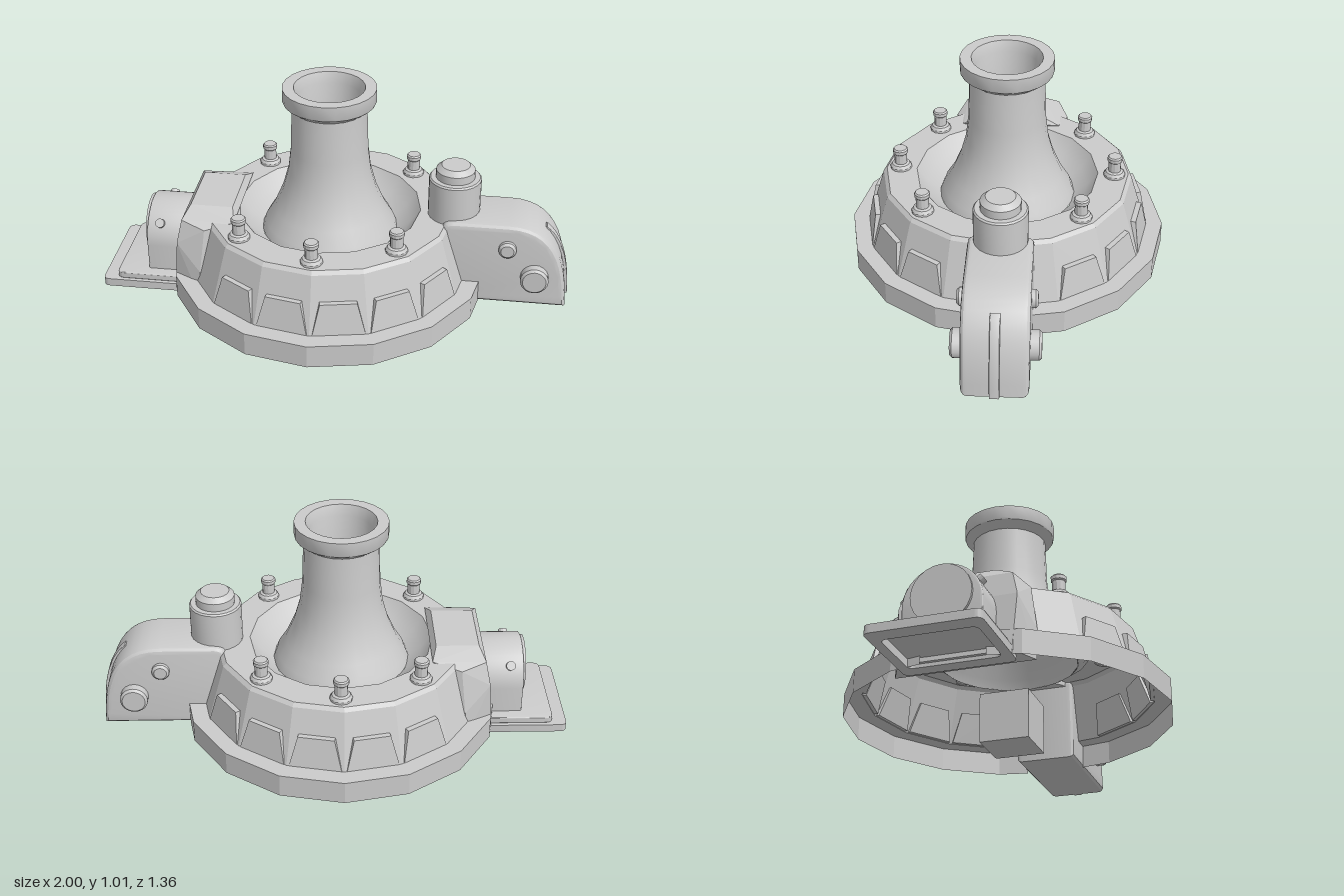
import * as THREE from 'three';
import { toCreasedNormals } from 'three/addons/utils/BufferGeometryUtils.js';
import { ConvexGeometry } from 'three/addons/geometries/ConvexGeometry.js';

const CX = -0.035; // axis of the round body
const SIDES = 16;
const V = (pts) => pts.map(([a, b]) => new THREE.Vector2(a, b));

export function createModel() {
  const model = new THREE.Group();
  const smooth = new THREE.MeshStandardMaterial({ color: 0xcccccc, side: THREE.DoubleSide });
  const flat = new THREE.MeshStandardMaterial({ color: 0xcccccc, side: THREE.DoubleSide, flatShading: true });

  const add = (name, geometry, x = 0, y = 0, z = 0, material = smooth, parent = model) => {
    const mesh = new THREE.Mesh(material === smooth ? toCreasedNormals(geometry, 0.5) : geometry, material);
    mesh.name = name;
    mesh.position.set(x, y, z);
    parent.add(mesh);
    return mesh;
  };
  const lathe = (pts, segments = SIDES) => new THREE.LatheGeometry(V(pts), segments);
  // Bevelled shape centred on z = 0
  const slab = (shape, width, bevel) => new THREE.ExtrudeGeometry(shape, {
    depth: width - 2 * bevel, bevelEnabled: bevel > 0, bevelSize: bevel, bevelThickness: bevel,
    bevelOffset: -bevel, bevelSegments: 3, curveSegments: 12,
  }).translate(0, 0, bevel - width / 2);
  const roundedRect = (x0, x1, h, r, path = new THREE.Shape()) => {
    path.moveTo(x0 + r, -h).lineTo(x1 - r, -h).quadraticCurveTo(x1, -h, x1, -h + r)
      .lineTo(x1, h - r).quadraticCurveTo(x1, h, x1 - r, h)
      .lineTo(x0 + r, h).quadraticCurveTo(x0, h, x0, h - r)
      .lineTo(x0, -h + r).quadraticCurveTo(x0, -h, x0 + r, -h);
    return path;
  };

  // Skirt: two half shells with openings where the arm and the motor attach
  const skirtProfile = [[0.68, 0.105], [0.68, 0.205], [0.608, 0.205], [0.535, 0.445], [0.52, 0.46]];
  for (const turn of [0, Math.PI]) {
    const g = new THREE.LatheGeometry(V(skirtProfile), SIDES / 2, -Math.PI / 2, Math.PI);
    const p = g.attributes.position, n = skirtProfile.length;
    const a = new THREE.Vector3(), b = new THREE.Vector3();
    for (const [end, next] of [[0, 1], [SIDES / 2, SIDES / 2 - 1]]) {
      for (let j = 0; j < n; j++) {
        a.fromBufferAttribute(p, end * n + j).lerp(b.fromBufferAttribute(p, next * n + j), 0.5);
        p.setXYZ(end * n + j, a.x, a.y, a.z);
      }
    }
    add('skirt', g, CX, 0, 0, flat).rotation.y = turn;
  }

  // Top ring, bowl and flared neck
  add('topRingAndBowl', lathe([[0.52, 0.46], [0.39, 0.46], [0.345, 0.4], [0.29, 0.36]]), CX);
  add('neck', lathe([
    [0.29, 0.36], [0.275, 0.4], [0.238, 0.46], [0.2, 0.55], [0.175, 0.64], [0.163, 0.74], [0.157, 0.925],
    [0.192, 0.952], [0.195, 0.96], [0.195, 1.015], [0.148, 1.015], [0.132, 0.97], [0.132, 0.6], [0, 0.6],
  ], 24), CX);

  // Raised trapezoid panels around the skirt
  for (const side of [0, 1]) {
    for (let k = -2; k <= 2; k++) {
      const phi = (k + 1) * Math.PI / 8 - Math.PI / 16;
      const pts = [];
      for (const s of [-1, 1]) {
        pts.push(new THREE.Vector3(s * 0.108, 0.207, 0.6), new THREE.Vector3(s * 0.075, 0.34, 0.578),
          new THREE.Vector3(s * 0.108, 0.207, 0.58), new THREE.Vector3(s * 0.075, 0.34, 0.545));
      }
      add('skirtPanel', new ConvexGeometry(pts), CX, 0, 0, flat).rotation.y = side ? Math.PI - phi : phi;
    }
  }

  // Bolts on the top ring
  const boltProfile = [[0.046, 0.455], [0.046, 0.47], [0.038, 0.482], [0.027, 0.486], [0.027, 0.53],
    [0.032, 0.535], [0.032, 0.55], [0.027, 0.556], [0, 0.556]];
  for (const deg of [45, 90, 135, -45, -90, -135]) {
    const t = (deg + 1.3) * Math.PI / 180;
    add('bolt', lathe(boltProfile, 12), CX + 0.46 * Math.cos(t), 0, 0.46 * Math.sin(t));
  }

  // Curved arm with fin, pins and capped post
  const arm = new THREE.Group();
  arm.name = 'arm';
  model.add(arm);
  const armShape = new THREE.Shape();
  armShape.moveTo(0.46, 0.105).lineTo(0.988, 0.105)
    .bezierCurveTo(0.98, 0.33, 0.92, 0.485, 0.73, 0.485).lineTo(0.5, 0.485)
    .quadraticCurveTo(0.455, 0.48, 0.455, 0.45).lineTo(0.46, 0.105);
  add('armBody', slab(armShape, 0.265, 0.025), 0, 0, 0, smooth, arm);
  const fin = new THREE.Shape();
  fin.moveTo(0.9, 0.105).lineTo(1, 0.105).bezierCurveTo(0.995, 0.27, 0.96, 0.38, 0.89, 0.435)
    .lineTo(0.86, 0.4).lineTo(0.9, 0.105);
  add('armFin', slab(fin, 0.04, 0.004), 0, 0, 0, smooth, arm);
  for (const [x, y, r, z] of [[0.73, 0.38, 0.037, 0.158], [0.85, 0.25, 0.059, 0.177]]) {
    const pin = lathe([[0, -z], [r - 0.01, -z], [r, 0.01 - z], [r, z - 0.01], [r - 0.01, z], [0, z]], 20);
    add('armPin', pin, x, y, 0, smooth, arm).rotation.x = Math.PI / 2;
  }
  add('cappedPost', lathe([[0, 0.44], [0.11, 0.44], [0.11, 0.63], [0.104, 0.637], [0.082, 0.637],
    [0.082, 0.672], [0.06, 0.692], [0, 0.692]], 24), 0.495, 0, 0, smooth, arm);

  // Faceted housing that straddles the skirt
  const housing = [];
  for (const s of [-1, 1]) {
    for (const [x, y, z] of [[-0.61, 0.495, 0.14], [-0.43, 0.495, 0.14], [-0.635, 0.46, 0.215], [-0.41, 0.465, 0.215],
      [-0.655, 0.36, 0.24], [-0.53, 0.44, 0.255], [-0.55, 0.25, 0.285], [-0.675, 0.12, 0.225], [-0.56, 0.12, 0.285]]) {
      housing.push(new THREE.Vector3(x, y, s * z));
    }
  }
  add('housing', new ConvexGeometry(housing), 0, 0, 0, flat);

  // Arched motor with end disc and side pins
  const motor = new THREE.Group();
  motor.name = 'motor';
  model.add(motor);
  const arch = new THREE.Shape();
  arch.moveTo(-0.16, 0.15).lineTo(0.16, 0.15).lineTo(0.16, 0.285).absarc(0, 0.285, 0.16, 0, Math.PI).lineTo(-0.16, 0.15);
  add('motorCase', slab(arch, 0.21, 0.008), -0.705, 0, 0, smooth, motor).rotation.y = Math.PI / 2;
  add('motorEndDisc', new THREE.CylinderGeometry(0.122, 0.122, 0.04, 24), -0.802, 0.315, 0, smooth, motor).rotation.z = Math.PI / 2;
  for (const s of [-1, 1]) {
    add('motorPin', new THREE.CylinderGeometry(0.02, 0.02, 0.03, 12), -0.752, 0.382, s * 0.13, smooth, motor)
      .rotation.x = s * 0.93;
  }

  // Stepped foot plate, hollow underneath
  const rim = roundedRect(-1, -0.6, 0.225, 0.03);
  rim.holes.push(roundedRect(-0.93, -0.66, 0.185, 0.03, new THREE.Path()));
  add('footRim', slab(rim, 0.035, 0), 0, 0.1225, 0).rotation.x = -Math.PI / 2;
  add('footPlate', slab(roundedRect(-0.94, -0.6, 0.21, 0.03), 0.03, 0.006), 0, 0.154, 0).rotation.x = -Math.PI / 2;

  // Block below the body
  add('baseBlock', new THREE.BoxGeometry(0.21, 0.21, 0.21), 0, 0.105, 0);

  return model;
}
